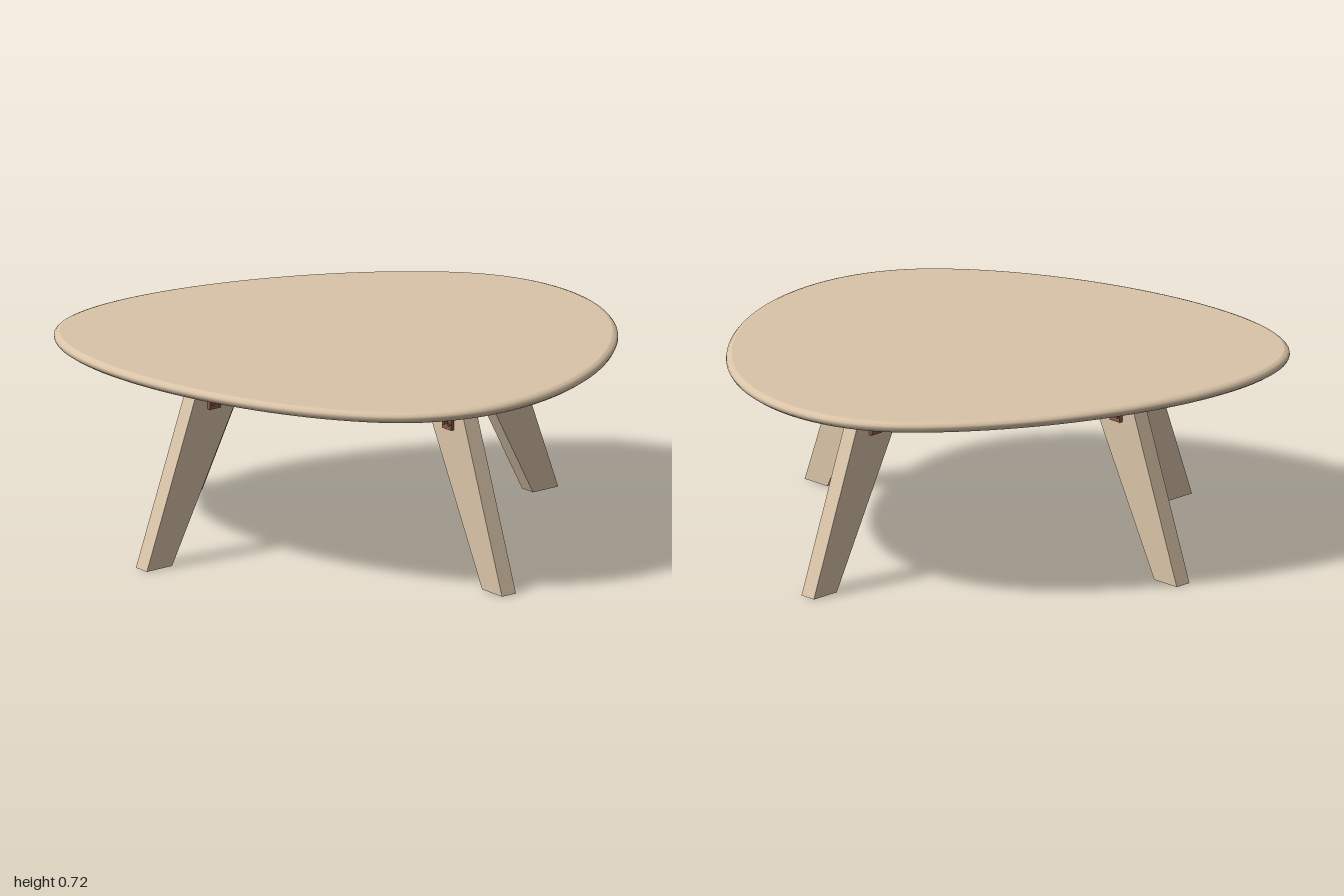
import * as THREE from 'three';

const TOP = 0.72, UNDER = 0.66, LEG_T = 0.063;

const wood = new THREE.MeshStandardMaterial({ color: 0xdac4a8 });
wood.name = 'paleWood';
const metal = new THREE.MeshStandardMaterial({ color: 0x8a5a4c });
metal.name = 'brownMetal';

function add(parent, name, geometry, material) {
  const mesh = new THREE.Mesh(geometry, material);
  mesh.name = name;
  parent.add(mesh);
  return mesh;
}

// Egg-shaped outline of the top in (x, z)
function outline(count) {
  const p = new THREE.Path();
  p.moveTo(-1, -0.03);
  p.bezierCurveTo(-1, -0.43, -0.26, -0.87, 0.34, -0.87);
  p.bezierCurveTo(0.72, -0.87, 1, -0.53, 1, -0.09);
  p.bezierCurveTo(1, 0.41, 0.71, 0.87, 0.27, 0.87);
  p.bezierCurveTo(-0.28, 0.87, -1, 0.38, -1, -0.03);
  return p.getSpacedPoints(count).slice(0, count);
}

// Skin over outline rings, each given as [inset, height]; inset null is the centre
function loftOutline(points, rings) {
  const n = points.length, pos = [], index = [];
  for (const [inset, y] of rings) {
    for (let i = 0; i < n; i++) {
      const t = points[(i + 1) % n].clone().sub(points[(i + n - 1) % n]).normalize();
      if (inset === null) pos.push(0.1, y, 0);
      else pos.push(points[i].x - t.y * inset, y, points[i].y + t.x * inset);
    }
  }
  for (let j = 0; j < rings.length - 1; j++) {
    for (let i = 0; i < n; i++) {
      const a = j * n + i, b = j * n + (i + 1) % n;
      index.push(a, b, a + n, b, b + n, a + n);
    }
  }
  const g = new THREE.BufferGeometry();
  g.setAttribute('position', new THREE.Float32BufferAttribute(pos, 3));
  g.setIndex(index);
  g.computeVertexNormals();
  return g;
}

function extrude(points, depth) {
  const shape = new THREE.Shape(points.map(([x, y]) => new THREE.Vector2(x, y)));
  const g = new THREE.ExtrudeGeometry(shape, { depth, bevelEnabled: false });
  return g.translate(0, 0, -depth / 2);
}

// Angle bracket: a wall plate, a plate under the top and a curved brace
function makeBracket() {
  const bracket = new THREE.Group();
  bracket.name = 'bracket';
  const wide = 0.05, reach = 0.128, drop = 0.108, thick = 0.014;
  add(bracket, 'bracketWallPlate', new THREE.BoxGeometry(wide, drop, thick)
    .translate(0, UNDER - drop / 2, thick / 2), metal);
  add(bracket, 'bracketTopPlate', new THREE.BoxGeometry(wide, thick, reach)
    .translate(0, UNDER - thick / 2, reach / 2), metal);

  const brace = new THREE.Shape();
  brace.moveTo(0.01, 0.565);
  brace.quadraticCurveTo(0.04, 0.622, 0.105, 0.648);
  brace.lineTo(0.075, 0.648);
  brace.quadraticCurveTo(0.03, 0.632, 0.01, 0.595);
  const braceGeo = new THREE.ExtrudeGeometry(brace,
    { depth: 0.02, bevelEnabled: false, curveSegments: 6 });
  add(bracket, 'bracketBrace',
    braceGeo.translate(0, 0, -0.01).rotateY(-Math.PI / 2), metal);

  // Screw heads on both plates
  for (const x of [-0.014, 0.014]) {
    add(bracket, 'wallScrew', new THREE.CylinderGeometry(0.006, 0.006, 0.006, 10)
      .rotateX(Math.PI / 2).translate(x, 0.572, thick + 0.002), metal);
    add(bracket, 'topScrew', new THREE.CylinderGeometry(0.006, 0.006, 0.006, 10)
      .translate(x, UNDER - thick - 0.002, 0.113), metal);
  }
  return bracket;
}

// Splayed tapering leg: local x points outward, origin at the foot centre
function makeLeg(side) {
  const leg = new THREE.Group();
  add(leg, 'legPlank', extrude([
    [-0.057, 0], [0.057, 0], [-0.184, UNDER + 0.004],
    [-0.347, UNDER + 0.004], [-0.347, 0.56],
  ], LEG_T), wood);
  const bracket = makeBracket();
  bracket.position.set(-0.243, 0, side * LEG_T / 2);
  if (side < 0) bracket.rotation.y = Math.PI;
  leg.add(bracket);
  return leg;
}

export function createModel() {
  const table = new THREE.Group();
  table.name = 'table';

  // Table top: flat face, then a rounded edge running into the underside
  const points = outline(112);
  add(table, 'tableTop', loftOutline(points, [[null, TOP], [0.02, TOP]]), wood);
  add(table, 'tableEdgeAndUnderside', loftOutline(points, [
    [0.02, TOP], [0.008, 0.716], [0.001, 0.708], [0, 0.7], [0.005, 0.69],
    [0.02, 0.68], [0.055, 0.669], [0.1, 0.663], [0.15, UNDER], [0.2, UNDER], [null, UNDER],
  ]), wood);

  // Four legs on the diagonals, with the right-hand end standing wider
  for (const sx of [-1, 1]) {
    for (const sz of [-1, 1]) {
      const leg = makeLeg(sx * sz);
      leg.name = (sz > 0 ? 'front' : 'back') + (sx > 0 ? 'Left' : 'Right') + 'Leg';
      leg.position.set(sx > 0 ? 0.665 : -0.585, 0, sz * (sx > 0 ? 0.628 : 0.478));
      leg.rotation.y = Math.atan2(-sz, sx);
      table.add(leg);
    }
  }
  return table;
}
